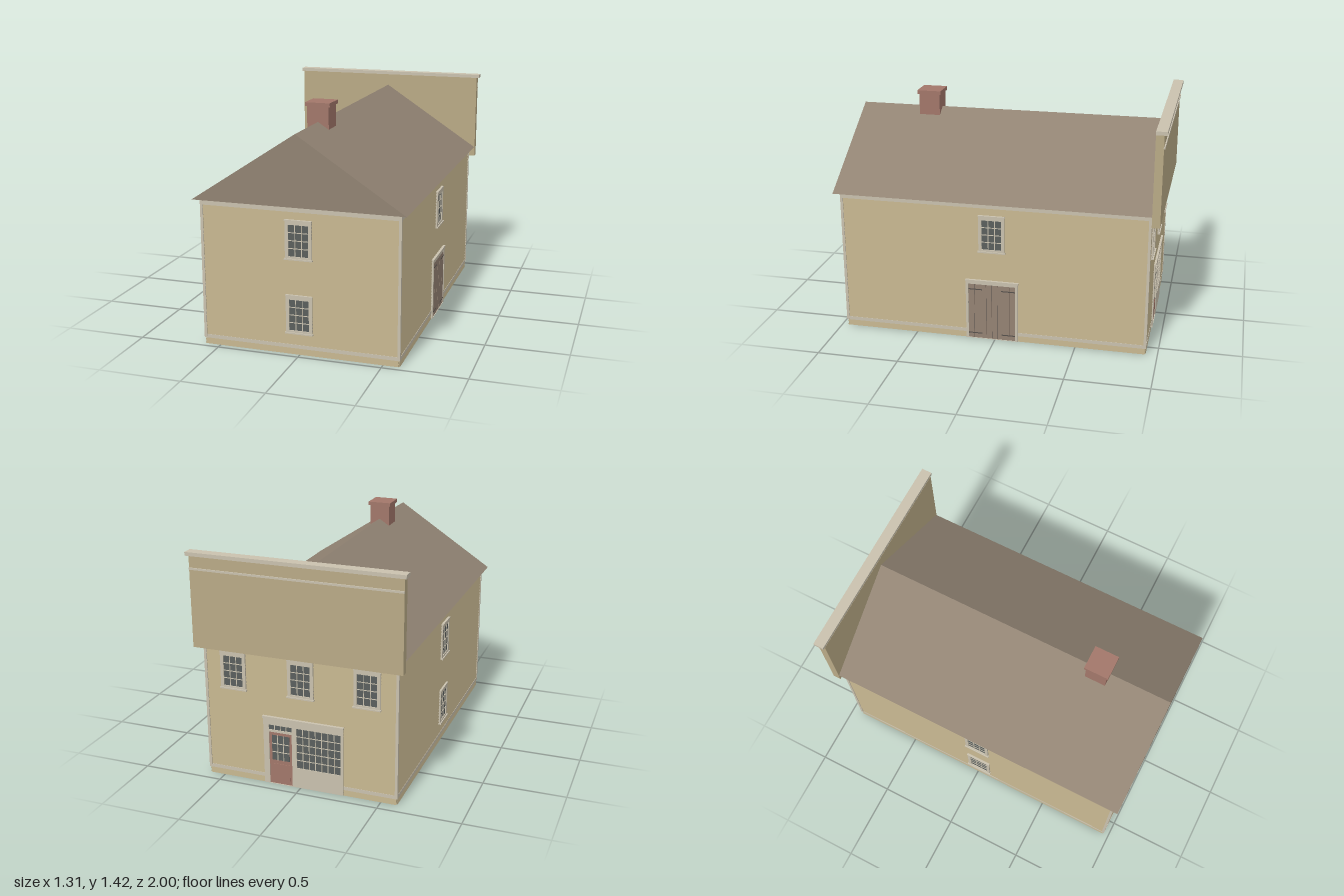
import * as THREE from 'three';

const mat = (name, color, side = THREE.FrontSide) => {
  const m = new THREE.MeshStandardMaterial({ color, side });
  m.name = name;
  return m;
};

export function createModel() {
  const siding = mat('tan siding', 0xb9aa86, THREE.DoubleSide);
  const trim = mat('pale trim', 0xc9c1ae);
  const roofing = mat('brown roofing', 0x918373);
  const brick = mat('brick red', 0xa2776a);
  const glass = mat('dark glass', 0x5a5f5d);
  const wood = mat('door wood', 0x948273);
  const iron = mat('iron', 0x55504b);

  const model = new THREE.Group();
  model.name = 'shopHouse';

  const HX = 0.592, HZ = 0.94, ZC = 0.0175, EAVE = 0.892;

  const add = (parent, name, geo, material) => {
    const m = new THREE.Mesh(geo, material);
    m.name = name;
    parent.add(m);
    return m;
  };
  // Box given by its min and max corners
  const box = (parent, name, material, x0, x1, y0, y1, z0, z1) => {
    const m = add(parent, name, new THREE.BoxGeometry(x1 - x0, y1 - y0, z1 - z0), material);
    m.position.set((x0 + x1) / 2, (y0 + y1) / 2, (z0 + z1) / 2);
    return m;
  };
  // Flat board with rectangular openings; rectangles are [x0, x1, y0, y1]
  const rect = (P, [x0, x1, y0, y1]) => {
    const p = new P();
    p.moveTo(x0, y0);
    p.lineTo(x1, y0);
    p.lineTo(x1, y1);
    p.lineTo(x0, y1);
    p.closePath();
    return p;
  };
  const frame = (parent, name, outer, holes, depth) => {
    const s = rect(THREE.Shape, outer);
    s.holes = holes.map(h => rect(THREE.Path, h));
    add(parent, name, new THREE.ExtrudeGeometry(s, { depth, bevelEnabled: false }), trim);
  };
  // Glass with a grid of glazing bars
  const glazing = (parent, [x0, x1, y0, y1], cols, rows, z = 0.009) => {
    box(parent, 'glass', glass, x0, x1, y0, y1, z - 0.002, z);
    const b = 0.0022;
    for (let i = 1; i < cols; i++) {
      const x = x0 + (x1 - x0) * i / cols;
      box(parent, 'glazingBar', trim, x - b, x + b, y0, y1, z, z + 0.003);
    }
    for (let j = 1; j < rows; j++) {
      const y = y0 + (y1 - y0) * j / rows;
      box(parent, 'glazingBar', trim, x0, x1, y - b, y + b, z, z + 0.003);
    }
  };
  const sashWindow = (wall, x, y) => {
    const g = new THREE.Group();
    g.name = 'window';
    g.position.set(x, y, 0);
    wall.add(g);
    const pane = [-0.06, 0.06, 0.018, 0.205];
    frame(g, 'windowFrame', [-0.08, 0.08, 0, 0.232], [pane], 0.015);
    glazing(g, pane, 3, 4);
    box(g, 'windowSill', trim, -0.085, 0.085, -0.002, 0.006, 0, 0.022);
    box(g, 'windowHead', trim, -0.082, 0.082, 0.226, 0.234, 0, 0.018);
  };

  // Hollow shell, open underneath
  const shell = new THREE.BoxGeometry(2 * HX, EAVE, 2 * HZ);
  shell.setIndex([...shell.index.array].filter((_, i) => i < 18 || i >= 24));
  shell.clearGroups();
  add(model, 'wallShell', shell, siding).position.set(0, EAVE / 2, ZC);

  // One wall: local x runs along it, local z points outwards
  const makeWall = (name, angle, dist, half) => {
    const w = new THREE.Group();
    w.name = name;
    w.rotation.y = angle;
    w.position.set(Math.sin(angle) * dist, 0, ZC + Math.cos(angle) * dist);
    model.add(w);
    // Overlapping clapboards: each board leans out at its lower edge
    const boards = 44, pitch = 0.88 / boards;
    const s = new THREE.Shape();
    s.moveTo(0, 0);
    for (let i = 0; i < boards; i++) {
      s.lineTo(0.007, i * pitch);
      s.lineTo(0.001, (i + 1) * pitch);
    }
    s.lineTo(0, boards * pitch);
    s.closePath();
    const geo = new THREE.ExtrudeGeometry(s, { depth: 2 * half, bevelEnabled: false });
    geo.rotateY(-Math.PI / 2);
    geo.translate(half, 0, 0);
    add(w, 'clapboards', geo, siding);
    // Corner boards, frieze and base band
    const e = half + 0.0095;
    for (const k of [-1, 1]) {
      const a = k * e, b = k * (half - 0.007);
      box(w, 'cornerBoard', trim, Math.min(a, b), Math.max(a, b), 0.038, EAVE, 0, 0.0095);
    }
    box(w, 'frieze', trim, -half, half, 0.857, EAVE, 0, 0.009);
    return w;
  };
  const front = makeWall('frontWall', 0, HZ, HX);
  const left = makeWall('leftWall', Math.PI / 2, HX, HZ);
  const back = makeWall('backWall', Math.PI, HZ, HX);
  const right = makeWall('rightWall', -Math.PI / 2, HX, HZ);
  for (const w of [front, right]) {
    const h = w === front ? HX : HZ;
    box(w, 'baseBand', trim, -h, h, 0.038, 0.06, 0, 0.009);
  }
  for (const s of [-1, 1]) {
    box(left, 'baseBand', trim, Math.min(s * 0.16, s * HZ), Math.max(s * 0.16, s * HZ), 0.038, 0.06, 0, 0.009);
  }
  box(back, 'baseBand', trim, -HX, -0.23, 0.038, 0.06, 0, 0.009);
  box(back, 'baseBand', trim, 0.27, HX, 0.038, 0.06, 0, 0.009);

  // Windows
  for (const w of [front, right]) for (const y of [0.131, 0.578]) sashWindow(w, 0, y);
  sashWindow(left, 0, 0.578);
  for (const x of [-0.415, 0.01, 0.415]) sashWindow(back, x, 0.578);

  // Double plank doors with strap hinges
  const barn = new THREE.Group();
  barn.name = 'sideDoors';
  left.add(barn);
  frame(barn, 'sideDoorFrame', [-0.163, 0.163, 0.002, 0.39], [[-0.147, 0.147, 0.004, 0.365]], 0.016);
  box(barn, 'sideDoorHead', trim, -0.166, 0.166, 0.383, 0.392, 0, 0.019);
  box(barn, 'sideDoorBacking', iron, -0.147, 0.147, 0.004, 0.365, 0.005, 0.0085);
  const edges = [-0.147, -0.11, -0.036, 0, 0.036, 0.11, 0.147];
  for (let i = 0; i < 6; i++) {
    box(barn, 'doorPlank', wood, edges[i] + 0.0012, edges[i + 1] - 0.0012, 0.004, 0.365, 0.008, 0.012);
  }
  for (const s of [-1, 1]) for (const y of [0.036, 0.33]) {
    box(barn, 'strapHinge', iron, Math.min(s * 0.147, s * 0.06), Math.max(s * 0.147, s * 0.06), y - 0.003, y + 0.003, 0.012, 0.014);
  }

  // Shop front: door with transom beside a large display window
  const shop = new THREE.Group();
  shop.name = 'shopFront';
  back.add(shop);
  const transom = [-0.195, -0.05, 0.355, 0.385], door = [-0.195, -0.05, 0.004, 0.34];
  const display = [-0.02, 0.255, 0.13, 0.385];
  frame(shop, 'shopSurround', [-0.23, 0.27, 0.002, 0.43], [transom, door, display], 0.014);
  box(shop, 'shopCornice', trim, -0.235, 0.275, 0.425, 0.437, 0, 0.02);
  glazing(shop, transom, 4, 1);
  glazing(shop, display, 7, 5);
  box(shop, 'shopDoor', brick, -0.195, -0.05, 0.004, 0.34, 0.004, 0.009);
  glazing(shop, [-0.178, -0.067, 0.16, 0.32], 3, 3, 0.011);
  box(shop, 'doorPanel', brick, -0.178, -0.067, 0.03, 0.135, 0.009, 0.012);

  // Gabled roof
  const gable = new THREE.Shape();
  gable.moveTo(-0.637, EAVE);
  gable.lineTo(0.637, EAVE);
  gable.lineTo(0, 1.31);
  gable.closePath();
  add(model, 'roof', new THREE.ExtrudeGeometry(gable, { depth: 1.935, bevelEnabled: false }), roofing).position.z = -0.935;

  // Tall false front at the back
  box(model, 'falseFront', siding, -0.64, 0.64, 0.83, 1.385, -0.982, -0.934);
  box(model, 'falseFrontCap', trim, -0.655, 0.655, 1.384, 1.406, -1, -0.935);
  box(model, 'falseFrontMoulding', trim, -0.64, 0.64, 1.3, 1.312, -0.989, -0.98);

  // Chimney
  box(model, 'chimney', brick, -0.066, 0.066, 1.2, 1.402, 0.48, 0.612);
  box(model, 'chimneyCap', brick, -0.076, 0.076, 1.4, 1.423, 0.47, 0.622);

  return model;
}
